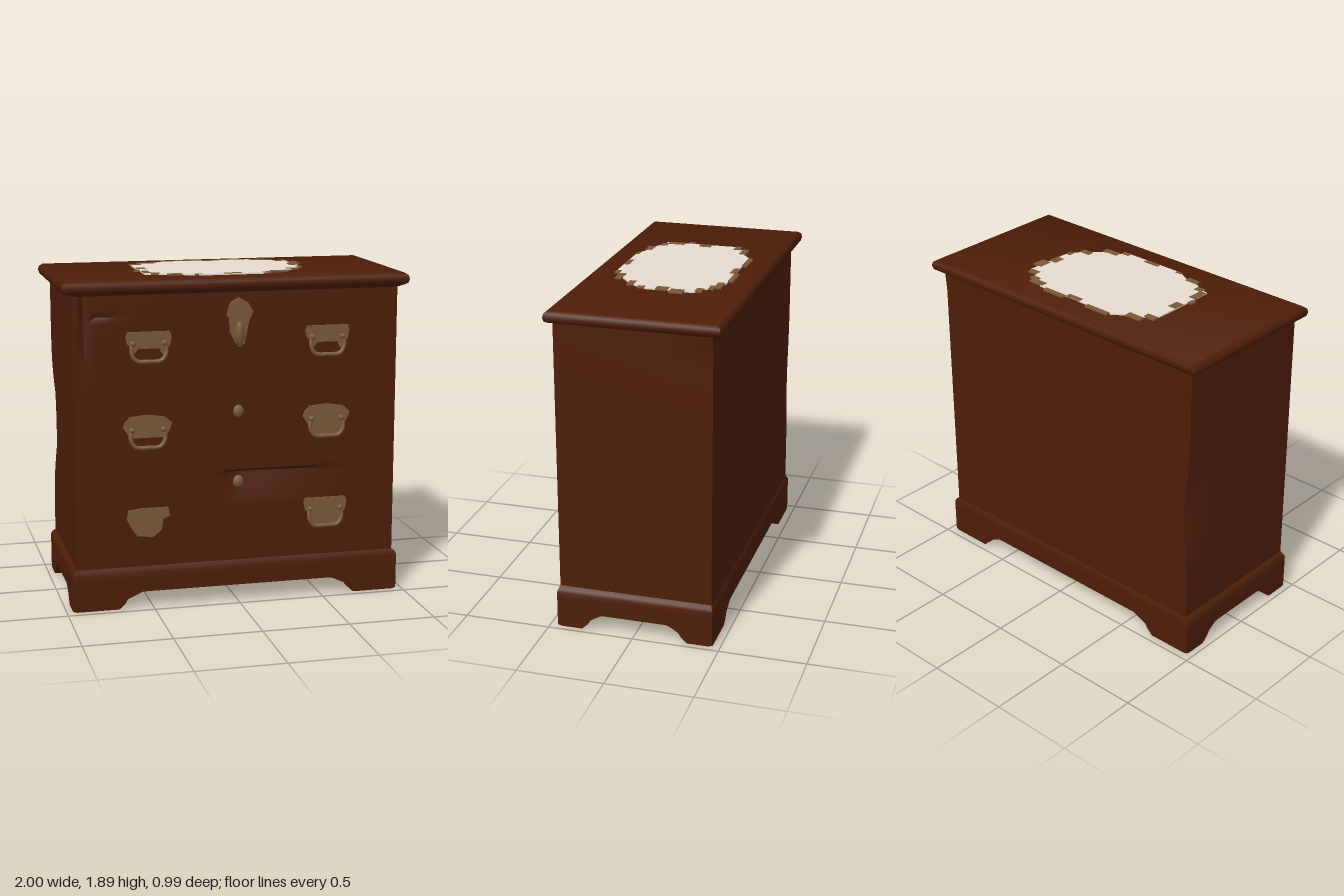
import * as THREE from 'three';
import { toCreasedNormals } from 'three/addons/utils/BufferGeometryUtils.js';

export function createModel() {
  const wood = new THREE.MeshStandardMaterial({ color: 0x4e1e08, side: THREE.DoubleSide });
  wood.name = 'darkWood';
  const metal = new THREE.MeshStandardMaterial({ color: 0x7b583a, side: THREE.DoubleSide });
  metal.name = 'agedBrass';
  const cloth = new THREE.MeshStandardMaterial({ color: 0xe6dbcf });
  cloth.name = 'cloth';

  const model = new THREE.Group();
  model.name = 'chestOfDrawers';
  const add = (name, geometry, material, parent = model) => {
    const mesh = new THREE.Mesh(geometry, material);
    mesh.name = name;
    parent.add(mesh);
    return mesh;
  };
  const shapeOf = (pts) => new THREE.Shape(pts.map(([x, y]) => new THREE.Vector2(x, y)));
  const plate = (shape, depth) => new THREE.ExtrudeGeometry(shape, { depth, bevelEnabled: false });

  // Moulding lofted through [half width, front z, back z, y] sections, closed at one end only
  const loft = (sections, capTop) => {
    const pos = [], idx = [];
    for (const [w, f, b, y] of sections) pos.push(-w, y, f, w, y, f, w, y, b, -w, y, b);
    for (let s = 0; s < sections.length - 1; s++) {
      for (let i = 0; i < 4; i++) {
        const a = s * 4 + i, c = s * 4 + ((i + 1) % 4);
        idx.push(a, c, c + 4, a, c + 4, a + 4);
      }
    }
    const t = (sections.length - 1) * 4;
    if (capTop) idx.push(t, t + 1, t + 2, t, t + 2, t + 3);
    else idx.push(0, 2, 1, 0, 3, 2);
    const g = new THREE.BufferGeometry();
    g.setAttribute('position', new THREE.Float32BufferAttribute(pos, 3));
    g.setIndex(idx);
    return toCreasedNormals(g, 0.8);
  };

  // Body: four walls with shallow dents; the ends are closed by the top and plinth
  const body = new THREE.BoxGeometry(1.875, 1.56, 0.885, 60, 78, 16);
  const [, , up, down] = body.groups;
  body.setIndex([...body.index.array].filter((_, i) => i < up.start || i >= down.start + down.count));
  body.translate(0, 1.025, 0);
  const p = body.attributes.position;
  for (let i = 0; i < p.count; i++) {
    const x = p.getX(i), y = p.getY(i), z = p.getZ(i);
    if (z > 0.44) {
      let d = 0;
      const under = 0.775 - y;
      if (under > 0 && under < 0.18 && x > -0.12 && x < 0.66) {
        d = 0.04 * (1 - under / 0.18) * Math.min(1, (x + 0.12) / 0.12) * Math.min(1, (0.66 - x) / 0.55);
      }
      if (Math.abs(x + 0.865) < 0.016 && y > 1.3) d = 0.03 * (y - 1.3) / 0.5;
      if (x > -0.84 && x < -0.62 && Math.abs(y - 1.69) < 0.011) d = 0.015 * (-0.62 - x) / 0.22;
      p.setZ(i, z - d);
    }
    if (x > 0.93 && z < -0.33 && y > 1.7) p.setX(i, x + 0.1 * (y - 1.7));
    if (x < -0.93 && z < -0.3) p.setX(i, x + 0.03 * Math.exp(-(((y - 0.93) / 0.25) ** 2)) * (-0.3 - z) / 0.14);
  }
  add('body', toCreasedNormals(body, 0.6), wood);

  // Overhanging top with a rounded edge
  add('top', loft([
    [0.935, 0.443, -0.443, 1.805], [0.975, 0.455, -0.475, 1.818], [0.993, 0.47, -0.49, 1.828],
    [1, 0.476, -0.496, 1.85], [0.995, 0.472, -0.492, 1.872], [0.975, 0.455, -0.475, 1.886],
  ], true), wood);

  // Plinth: moulding and recessed floor above four panels cut out into bracket feet
  add('plinthMoulding', loft([
    [0.964, 0.455, -0.455, 0.18], [0.964, 0.455, -0.455, 0.215],
    [0.957, 0.45, -0.45, 0.232], [0.9375, 0.443, -0.443, 0.248],
  ], false), wood);
  const apron = (half, foot, arch) => {
    const side = [[half, 0.18], [half, 0.01], [half - 0.02, 0.003], [foot, 0.003], [foot - 0.035, 0.035],
      [foot - 0.05, 0.06], [arch + 0.02, 0.092], [arch, 0.1]];
    return plate(shapeOf([...side, ...side.map(([x, y]) => [-x, y]).reverse()]), 0.045);
  };
  for (const s of [1, -1]) {
    const front = add(s > 0 ? 'frontApron' : 'backApron', apron(0.964, 0.7, 0.56), wood);
    front.rotation.y = s > 0 ? 0 : Math.PI;
    front.position.z = s * 0.41;
    const end = add(s > 0 ? 'leftApron' : 'rightApron', apron(0.454, 0.31, 0.19), wood);
    end.rotation.y = s * Math.PI / 2;
    end.position.x = s * 0.919;
  }

  // Drawer pulls: worn backplate, hanging bail and two posts
  const plates = {
    plain: [[-0.12, 0.08], [0.12, 0.08], [0.13, 0.05], [0.12, 0], [0.1, -0.015], [0.09, -0.06],
      [0.07, -0.04], [0.06, -0.015], [-0.06, -0.015], [-0.08, -0.04], [-0.1, -0.05], [-0.1, -0.005],
      [-0.12, 0.01], [-0.13, 0.05]],
    crested: [[-0.13, 0.06], [-0.1, 0.09], [0, 0.1], [0.1, 0.085], [0.14, 0.05], [0.125, 0.01],
      [0.1, -0.03], [-0.1, -0.03], [-0.12, 0], [-0.14, 0.03]],
    broken: [[-0.12, 0.07], [-0.05, 0.08], [0.11, 0.08], [0.12, 0.03], [0.08, 0.015], [0.07, -0.05],
      [0.02, -0.09], [-0.07, -0.08], [-0.1, -0.04], [-0.13, 0.02]],
  };
  const bail = new THREE.TubeGeometry(new THREE.CatmullRomCurve3([
    [-0.095, 0.01, 0.012], [-0.098, -0.04, 0.02], [-0.07, -0.08, 0.022], [0, -0.085, 0.022],
    [0.07, -0.08, 0.022], [0.098, -0.04, 0.02], [0.095, 0.01, 0.012],
  ].map((v) => new THREE.Vector3(...v))), 24, 0.012, 6);
  const pulls = [
    [-0.515, 1.52, 'plain'], [0.52, 1.52, 'plain'], [-0.525, 1.03, 'crested'],
    [0.52, 1.045, 'crested', true], [-0.52, 0.51, 'broken'], [0.52, 0.51, 'plain', true],
  ];
  for (const [x, y, kind, filled] of pulls) {
    const pull = new THREE.Group();
    pull.name = 'drawerPull';
    pull.position.set(x, y, 0.442);
    model.add(pull);
    add('backplate', plate(shapeOf(plates[kind]), 0.014), metal, pull);
    if (kind !== 'broken') {
      add('bail', bail, metal, pull);
      for (const s of [-1, 1]) {
        const post = add('post', new THREE.SphereGeometry(0.018, 8, 6), metal, pull);
        post.position.set(s * 0.09, 0.015, 0.012);
      }
    }
    if (filled) {
      add('lowerPlate', plate(shapeOf([[-0.09, 0], [0.09, 0], [0.09, -0.05], [0.06, -0.085],
        [-0.06, -0.085], [-0.09, -0.05]]), 0.008), metal, pull);
    }
  }

  // Lock hasp and keyhole covers along the middle
  const hasp = add('lockHasp', plate(shapeOf([[0, 0.13], [0.05, 0.1], [0.08, 0.05], [0.06, 0.01],
    [0.04, -0.08], [0.03, -0.13], [0, -0.15], [-0.025, -0.12], [-0.05, -0.07], [-0.055, 0.01],
    [-0.07, 0.03], [-0.05, 0.1]]), 0.025), metal);
  hasp.position.set(0, 1.645, 0.442);
  const drop = add('haspDrop', new THREE.SphereGeometry(1, 10, 8), metal);
  drop.scale.set(0.03, 0.07, 0.024);
  drop.position.set(0, 1.575, 0.47);
  for (const y of [1.125, 0.715]) {
    const cover = add('keyholeCover', new THREE.SphereGeometry(1, 8, 6), metal);
    cover.scale.set(0.032, 0.038, 0.022);
    cover.position.set(0, y, 0.445);
  }

  // Cloth on the top with a ragged trim; outline points are [x, z]
  const outline = [[-0.49, -0.2], [-0.44, -0.2], [-0.43, -0.255], [-0.36, -0.27], [-0.27, -0.335],
    [0.27, -0.335], [0.29, -0.29], [0.38, -0.27], [0.4, -0.22], [0.465, -0.21], [0.465, 0.08],
    [0.41, 0.17], [0.31, 0.25], [0.23, 0.29], [0.2, 0.33], [-0.2, 0.33], [-0.3, 0.28], [-0.37, 0.27],
    [-0.44, 0.23], [-0.49, 0.22]];
  const sheet = plate(shapeOf(outline.map(([x, z]) => [x, -z])), 0.008).rotateX(-Math.PI / 2);
  add('cloth', sheet, cloth).position.y = 1.887;
  // Each tab is [x, z, width, depth]
  const tabs = [[-0.46, -0.22, 0.07, 0.04], [-0.39, -0.275, 0.1, 0.04], [-0.18, -0.348, 0.16, 0.03],
    [0.015, -0.32, 0.1, 0.03], [0.145, -0.348, 0.15, 0.03], [0.31, -0.31, 0.1, 0.04],
    [0.36, -0.28, 0.06, 0.03], [0.425, -0.225, 0.06, 0.04], [0.475, -0.11, 0.06, 0.08],
    [0.445, -0.02, 0.05, 0.07], [0.45, 0.1, 0.03, 0.04], [0.39, 0.175, 0.07, 0.04],
    [0.28, 0.275, 0.1, 0.04], [0.2, 0.315, 0.05, 0.03], [0, 0.315, 0.1, 0.03],
    [-0.2, 0.32, 0.04, 0.02], [-0.33, 0.285, 0.08, 0.04], [-0.43, 0.225, 0.05, 0.04],
    [-0.505, 0.07, 0.03, 0.04], [-0.465, -0.02, 0.05, 0.07], [-0.47, 0.16, 0.04, 0.1]];
  for (const [x, z, w, d] of tabs) {
    add('clothTrim', new THREE.BoxGeometry(w, 0.009, d), metal).position.set(x, 1.8925, z);
  }
  return model;
}
